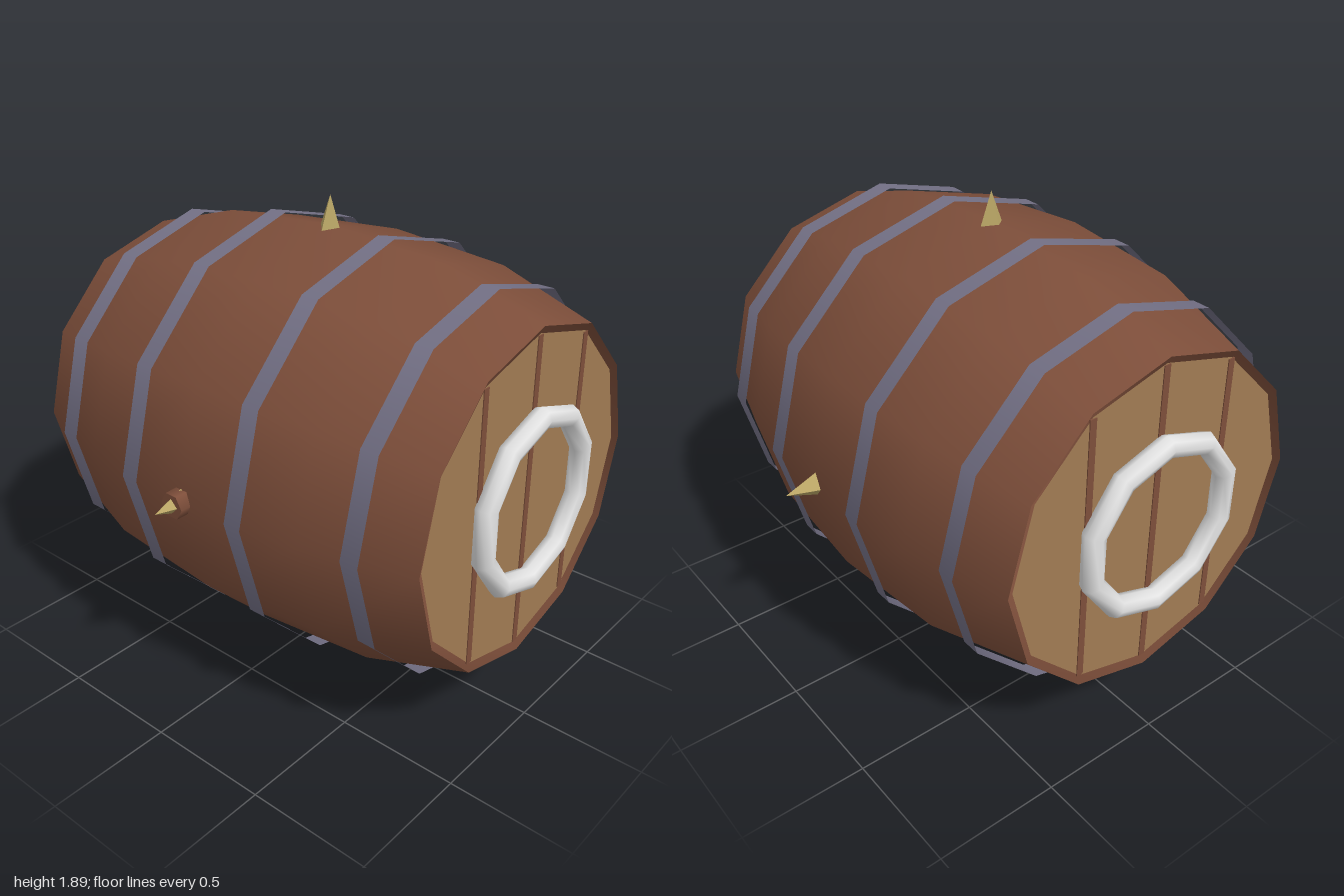
import * as THREE from 'three';

const CY = 0.945; // height of the barrel axis

export function createModel() {
  const model = new THREE.Group();
  const mat = (name, color, extra = {}) => {
    const m = new THREE.MeshStandardMaterial({ color, ...extra });
    m.name = name;
    return m;
  };
  const brown = mat('staveBrown', 0x7d4e3a, { side: THREE.DoubleSide });
  const tan = mat('headTan', 0xa07b53, { side: THREE.DoubleSide });
  const iron = mat('bandIron', 0x737085, { side: THREE.DoubleSide });
  const white = mat('ringWhite', 0xe2e2e2);
  const gold = mat('spikeGold', 0xb9a565, { flatShading: true });

  const add = (name, geometry, material, parent = model) => {
    const mesh = new THREE.Mesh(geometry, material);
    mesh.name = name;
    parent.add(mesh);
    return mesh;
  };

  // Bulging open shell, turned about the x axis
  const profile = [[0.665, -0.94], [0.79, -0.52], [0.83, 0], [0.79, 0.52], [0.665, 0.94]];
  const shell = new THREE.LatheGeometry(profile.map(([r, x]) => new THREE.Vector2(r, x)), 12);
  add('barrelShell', shell.rotateZ(-Math.PI / 2), brown).position.y = CY;

  // Four thin metal bands
  for (const [x, r] of [[0.265, 0.834], [0.718, 0.752]]) {
    for (const s of [-1, 1]) {
      const band = new THREE.CylinderGeometry(r, r, 0.075, 12, 1, true).rotateZ(-Math.PI / 2);
      add('band', band, iron).position.set(s * x, CY, 0);
    }
  }

  // Heads at both ends: disc, seams between planks and a ring
  for (const s of [-1, 1]) {
    const end = new THREE.Group();
    end.name = s > 0 ? 'leftEnd' : 'rightEnd';
    end.position.y = CY;
    end.rotation.y = s * Math.PI / 2;
    model.add(end);
    add('head', new THREE.CircleGeometry(0.635, 12), tan, end).position.z = 0.925;
    for (const [x, h] of [[-0.318, 1.09], [0, 1.26], [0.318, 1.09]]) {
      add('plankSeam', new THREE.BoxGeometry(0.028, h, 0.006), brown, end).position.set(x, 0, 0.926);
    }
    const ring = new THREE.TorusGeometry(0.33, 0.043, 8, 10).rotateZ(Math.PI / 2);
    add('ring', ring, white, end).position.z = 0.957;
  }

  // Four pyramid spikes around the middle
  for (let i = 0; i < 4; i++) {
    const spike = new THREE.ConeGeometry(0.05, 0.13, 4).translate(0, 0.88, 0).rotateX(i * Math.PI / 2);
    add('spike', spike, gold).position.y = CY;
  }

  // Six-sided plug under the front spike
  const plug = new THREE.CylinderGeometry(0.052, 0.052, 0.08, 6).rotateY(Math.PI / 2).rotateX(Math.PI / 2);
  add('plug', plug.toNonIndexed(), brown).position.set(0, CY, 0.828);

  return model;
}
